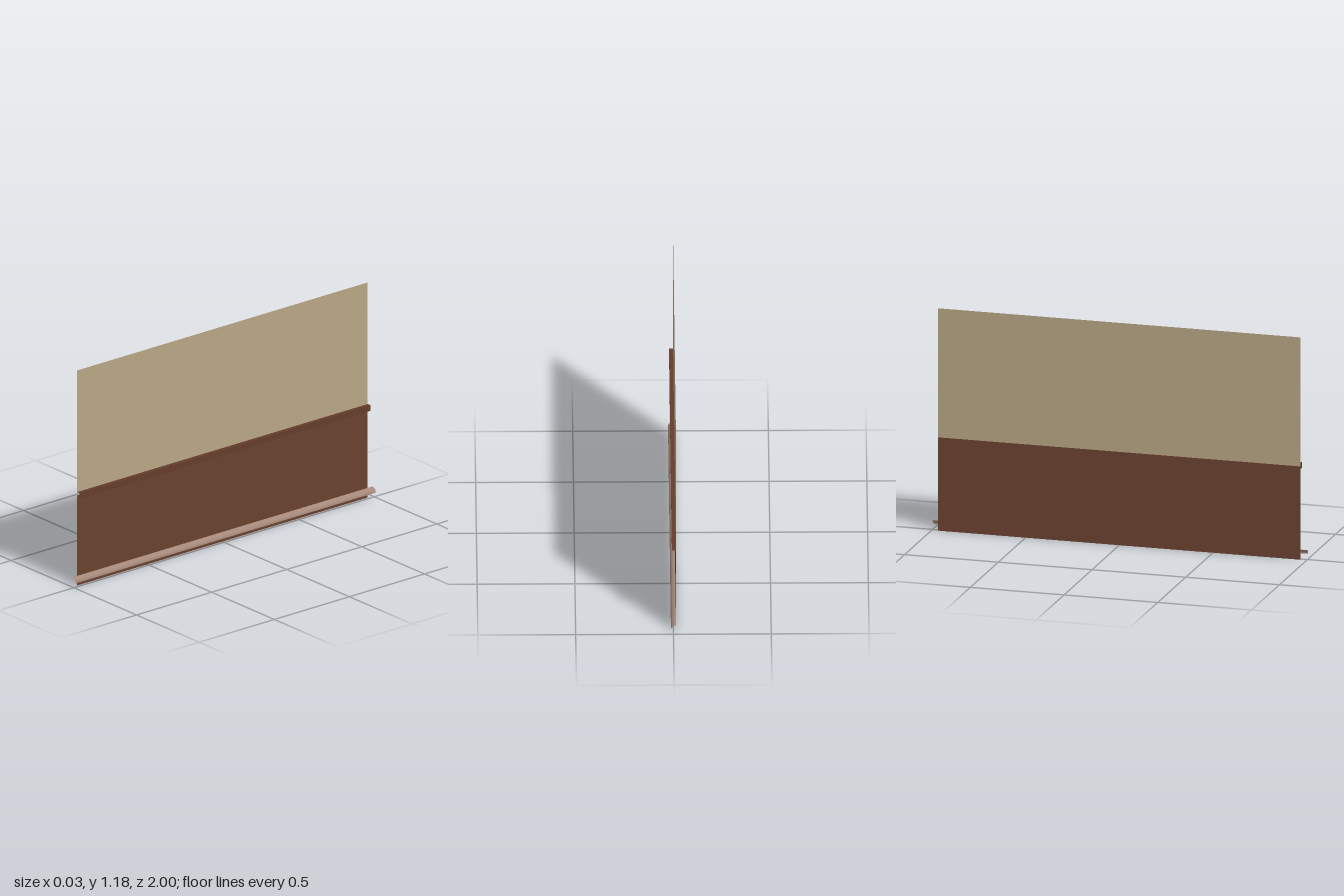
import * as THREE from 'three';

const mat = (name, color) => {
  const m = new THREE.MeshStandardMaterial({ color, side: THREE.DoubleSide });
  m.name = name;
  return m;
};

// Sweep an open [x, y] profile along z; the outside lies to the left of its direction
function strip(name, profile, halfLength, material, smooth = false) {
  const positions = [], index = [];
  profile.forEach(([x, y], i) => {
    positions.push(x, y, halfLength, x, y, -halfLength);
    if (i > 0) {
      const a = 2 * (i - 1), b = 2 * i;
      index.push(a, b, b + 1, a, b + 1, a + 1);
    }
  });
  let geometry = new THREE.BufferGeometry();
  geometry.setAttribute('position', new THREE.Float32BufferAttribute(positions, 3));
  geometry.setIndex(index);
  if (!smooth) geometry = geometry.toNonIndexed();
  geometry.computeVertexNormals();
  const mesh = new THREE.Mesh(geometry, material);
  mesh.name = name;
  return mesh;
}

export function createModel() {
  const group = new THREE.Group();
  group.name = 'wainscotWall';

  const plaster = mat('beige plaster', 0xb8a585);
  const wood = mat('brown wood', 0x6a422f);
  const trim = mat('dark brown trim', 0x643d2b);
  const shoe = mat('pale brown moulding', 0xa5887a);

  const back = -0.013, half = 0.968;

  // Flat wall sheets
  group.add(strip('upperWall', [[back, 1.18], [back, 0.495]], half, plaster));
  group.add(strip('lowerPanel', [[back, 0.495], [back, 0]], half, wood));

  // Chair rail, open at the ends
  const front = 0.008;
  group.add(strip('chairRail',
    [[back, 0.513], [front, 0.513], [front, 0.482], [back, 0.482]], half, trim));

  // Quarter-round moulding, slightly longer than the wall
  const radius = 0.026, arc = [];
  for (let i = 0; i <= 8; i++) {
    const t = (i / 8) * Math.PI / 2;
    arc.push([back + radius * Math.sin(t), 0.027 + radius * Math.cos(t)]);
  }
  group.add(strip('quarterRoundMoulding', arc, 1, shoe, true));

  return group;
}
